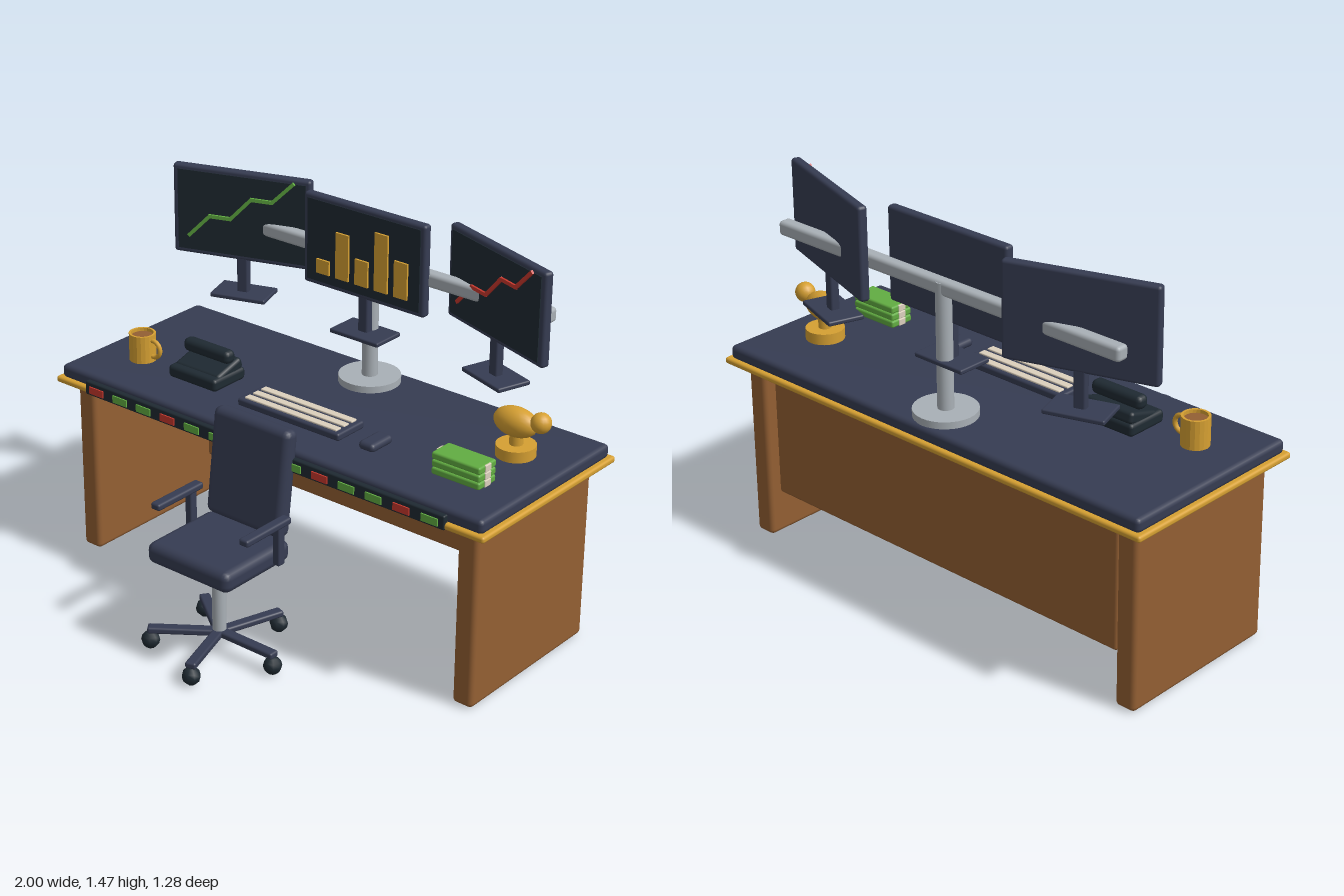
import * as THREE from 'three';
import { RoundedBoxGeometry } from 'three/addons/geometries/RoundedBoxGeometry.js';

const mat = (name, color) => {
  const m = new THREE.MeshStandardMaterial({ color });
  m.name = name;
  return m;
};

export function createModel() {
  const navy = mat('navy', 0x363c52), charcoal = mat('charcoal', 0x1f2a32);
  const wood = mat('wood', 0x935f33), silver = mat('silver', 0xa9b0b6);
  const gold = mat('gold', 0xd6a032), green = mat('green', 0x62ad42);
  const red = mat('red', 0xc8382d), cream = mat('cream', 0xdcd0bd);

  const root = new THREE.Group();
  root.name = 'tradingDesk';

  const group = (name, x = 0, y = 0, z = 0, parent = root) => {
    const g = new THREE.Group();
    g.name = name;
    g.position.set(x, y, z);
    parent.add(g);
    return g;
  };
  const add = (name, geo, m, x, y, z, parent = root) => {
    const mesh = new THREE.Mesh(geo, m);
    mesh.name = name;
    mesh.position.set(x, y, z);
    parent.add(mesh);
    return mesh;
  };
  // Softly bevelled box; radius 0 gives a plain box
  const box = (name, w, h, d, r, m, x, y, z, parent = root) =>
    add(name, r ? new RoundedBoxGeometry(w, h, d, 2, r) : new THREE.BoxGeometry(w, h, d), m, x, y, z, parent);
  const cyl = (name, r, h, m, x, y, z, parent = root, sides = 20) =>
    add(name, new THREE.CylinderGeometry(r, r, h, sides), m, x, y, z, parent);

  // Desk
  const desk = group('desk');
  box('goldTrim', 2, 0.025, 0.8, 0.01, gold, 0, 0.716, -0.24, desk);
  box('deskTop', 1.965, 0.055, 0.77, 0.018, navy, 0, 0.75, -0.24, desk);
  for (const s of [-1, 1]) box('deskLeg', 0.085, 0.685, 0.685, 0.018, wood, s * 0.897, 0.347, -0.237, desk);
  box('modestyPanel', 1.67, 0.47, 0.04, 0.012, wood, 0, 0.425, -0.53, desk);

  // Ticker strip along the front edge
  const ticker = group('tickerStrip', 0, 0, 0.152);
  box('tickerHousing', 1.68, 0.055, 0.025, 0.006, charcoal, 0, 0.73, 0, ticker);
  for (let i = 0; i < 14; i++)
    box('tickerLight', 0.07, 0.028, 0.008, 0, i % 3 ? green : red, -0.78 + i * 0.12, 0.727, 0.014, ticker);

  // Monitor mount
  const mount = group('monitorMount', 0, 0, -0.495);
  cyl('mountBase', 0.118, 0.028, silver, 0, 0.79, 0, mount, 32);
  cyl('mountPole', 0.03, 0.5, silver, 0, 1.03, 0, mount);
  box('mountArm', 1.6, 0.055, 0.052, 0.014, silver, 0, 1.26, 0, mount);

  // Monitors
  const monitor = (name, x, angle) => {
    const g = group(name, x, 1.298, -0.462);
    g.rotation.y = angle;
    box('monitorFrame', 0.56, 0.355, 0.038, 0.012, navy, 0, 0, 0, g);
    box('screen', 0.52, 0.318, 0.008, 0, charcoal, 0, 0, 0.018, g);
    box('monitorNeck', 0.045, 0.16, 0.035, 0.008, navy, 0, -0.24, 0, g);
    box('monitorFoot', 0.225, 0.018, 0.14, 0.006, navy, 0, -0.315, 0, g);
    return g;
  };
  const lineY = [-0.1, -0.013, -0.013, 0.076, 0.076, 0.16];
  const lineChart = (g, m) => {
    for (let i = 0; i < 5; i++) {
      const dy = lineY[i + 1] - lineY[i];
      const seg = box('chartLine', Math.hypot(0.085, dy) + 0.008, 0.014, 0.009, 0, m,
        -0.17 + i * 0.085, (lineY[i] + lineY[i + 1]) / 2, 0.026, g);
      seg.rotation.z = Math.atan2(dy, 0.085);
    }
  };
  lineChart(monitor('rightMonitor', -0.592, 0.32), green);
  lineChart(monitor('leftMonitor', 0.592, -0.32), red);
  const centre = monitor('centreMonitor', 0, 0);
  [0.055, 0.18, 0.1, 0.225, 0.14].forEach((h, i) =>
    box('chartBar', 0.06, h, 0.009, 0, gold, (i - 2) * 0.09, -0.122 + h / 2, 0.026, centre));

  // Mug
  const mug = group('mug', -0.78, 0.777, -0.09);
  const mugProfile = [[0, 0], [0.052, 0], [0.052, 0.11], [0.043, 0.11], [0.043, 0.09]]
    .map(([x, y]) => new THREE.Vector2(x, y));
  const mugBody = new THREE.LatheGeometry(mugProfile, 20).toNonIndexed();
  mugBody.computeVertexNormals();
  add('mugBody', mugBody, gold, 0, 0, 0, mug);
  cyl('coffee', 0.043, 0.008, wood, 0, 0.093, 0, mug);
  add('mugHandle', new THREE.TorusGeometry(0.033, 0.009, 8, 18), gold, 0.057, 0.057, 0, mug);

  // Telephone
  const phone = group('telephone', -0.48, 0.777, -0.12);
  box('phoneBase', 0.235, 0.05, 0.175, 0.015, charcoal, 0, 0.025, 0, phone);
  const slope = box('phoneSlope', 0.22, 0.045, 0.14, 0.014, charcoal, 0, 0.05, -0.012, phone);
  slope.rotation.x = 0.28;
  box('handset', 0.225, 0.052, 0.052, 0.02, charcoal, 0, 0.108, -0.015, phone);

  // Keyboard and mouse
  const keyboard = group('keyboard', 0, 0.79, -0.09);
  box('keyboardBody', 0.475, 0.03, 0.15, 0.009, navy, 0, 0, 0, keyboard);
  for (let i = -1; i <= 1; i++) box('keyRow', 0.43, 0.012, 0.03, 0.003, cream, 0, 0.015, i * 0.045, keyboard);
  box('mouse', 0.07, 0.034, 0.12, 0.016, navy, 0.355, 0.79, -0.08);

  // Banknote bundles
  const notes = group('banknotes', 0.742, 0, -0.075);
  for (let i = 0; i < 3; i++) {
    const y = 0.793 + i * 0.029;
    box('noteBundle', 0.205, 0.028, 0.1, 0.008, green, 0, y, 0, notes);
    box('noteBand', 0.211, 0.026, 0.034, 0.003, cream, 0, y, 0, notes);
  }

  // Gold figurine
  const figurine = group('figurine', 0.775, 0, -0.34);
  cyl('figurinePlinth', 0.073, 0.043, gold, 0, 0.798, 0, figurine, 24);
  cyl('figurineStem', 0.025, 0.06, gold, 0, 0.84, 0, figurine, 12);
  const body = add('figurineBody', new THREE.SphereGeometry(1, 18, 12), gold, -0.005, 0.903, 0, figurine);
  body.scale.set(0.09, 0.055, 0.052);
  add('figurineHead', new THREE.SphereGeometry(0.038, 16, 12), gold, 0.1, 0.93, 0, figurine);

  // Office chair
  const chair = group('chair', 0, 0, 0.363);
  box('seat', 0.385, 0.083, 0.35, 0.03, navy, 0, 0.41, 0, chair);
  const back = box('chairBack', 0.355, 0.41, 0.068, 0.028, navy, 0, 0.66, -0.182, chair);
  back.rotation.x = -0.13;
  for (const s of [-1, 1]) {
    box('armPost', 0.03, 0.16, 0.034, 0.006, navy, s * 0.208, 0.475, -0.087, chair);
    box('armRest', 0.042, 0.027, 0.24, 0.009, navy, s * 0.208, 0.558, -0.015, chair);
  }
  cyl('gasLift', 0.026, 0.3, silver, 0, 0.235, 0, chair);
  for (let i = 0; i < 5; i++) {
    const spoke = group('chairSpoke', 0, 0, 0, chair);
    spoke.rotation.y = (i * Math.PI * 2) / 5;
    box('spokeBar', 0.265, 0.025, 0.042, 0.008, navy, 0.13, 0.08, 0, spoke);
    add('caster', new THREE.SphereGeometry(0.035, 8, 6), charcoal, 0.252, 0.036, 0, spoke);
  }

  return root;
}
